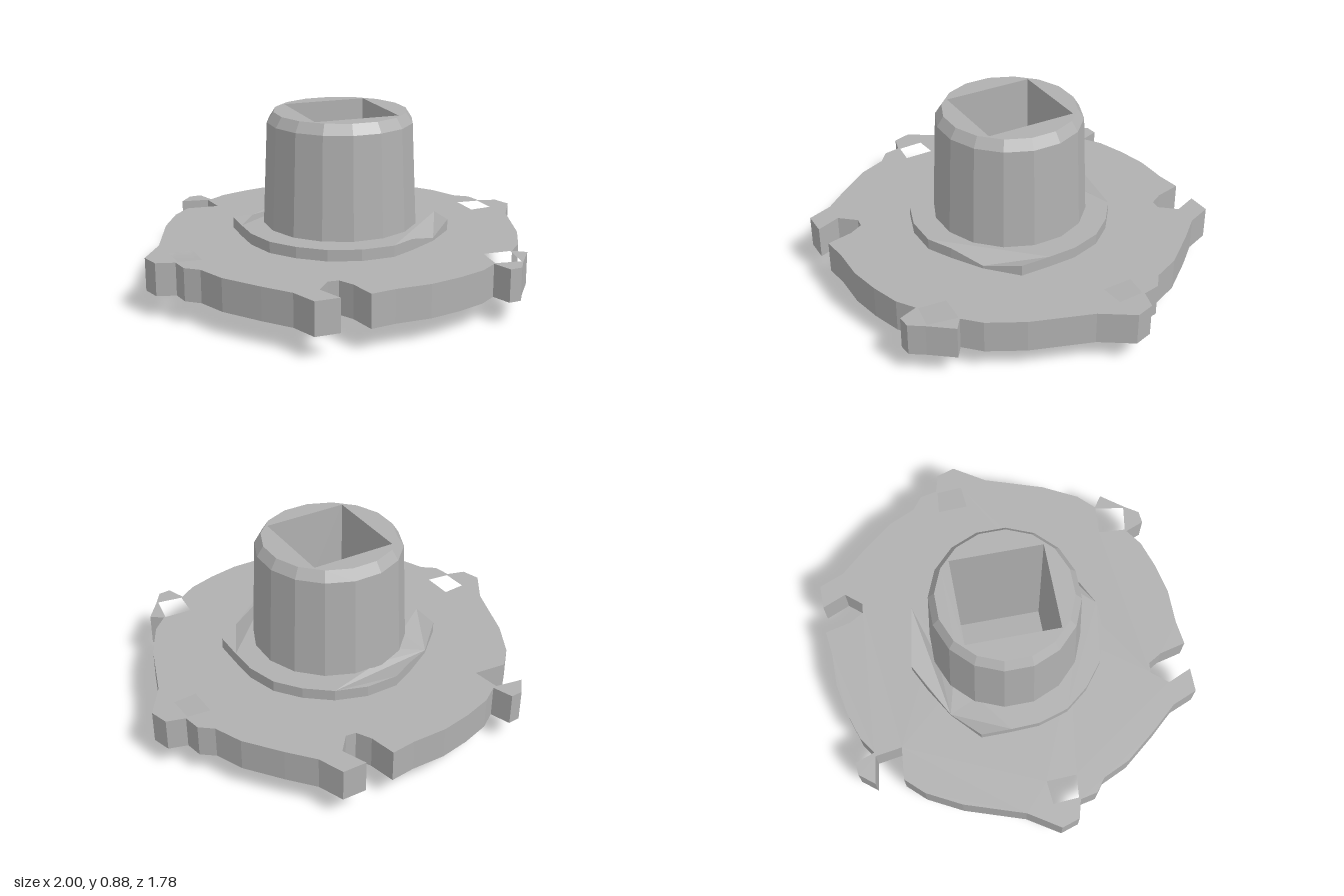
import * as THREE from 'three';

const SIDES = 16;
const PHASE = Math.PI / SIDES;
const BORE = [[-0.21, -0.225], [0.21, -0.225], [0.21, 0.225], [-0.21, 0.225]];

// Plan points are [x, z]; the shape is drawn with y = -z and laid flat later
const toVectors = (pts) => pts.map(([x, z]) => new THREE.Vector2(x, -z));
const half = (pts) => pts.map(([x, z]) => [-x, -z]);
const ring = (r) => Array.from({ length: SIDES }, (_, i) => {
  const a = PHASE + (i / SIDES) * Math.PI * 2;
  return [r * Math.sin(a), r * Math.cos(a)];
});

function planShape(outline, holes) {
  const shape = new THREE.Shape(toVectors(outline));
  holes.forEach((h) => shape.holes.push(new THREE.Path(toVectors(h))));
  return shape;
}

function slab(outline, holes, y0, y1) {
  const g = new THREE.ExtrudeGeometry(planShape(outline, holes), { depth: y1 - y0, bevelEnabled: false });
  return g.rotateX(-Math.PI / 2).translate(0, y0, 0);
}

function turned(profile) {
  return new THREE.LatheGeometry(profile.map(([r, y]) => new THREE.Vector2(r, y)), SIDES, PHASE);
}

export function createModel() {
  const group = new THREE.Group();
  const steel = new THREE.MeshStandardMaterial({ color: 0xb0b0b0, flatShading: true });
  steel.name = 'grey metal';
  const add = (name, geometry) => {
    const mesh = new THREE.Mesh(geometry, steel);
    mesh.name = name;
    group.add(mesh);
    return mesh;
  };

  // Flange rim: one side from the back notch round to the corner tab, repeated half a turn on
  const side = [
    [0.2, -0.89], [0.23, -0.76], [0.27, -0.69], [0.32, -0.685], [0.387, -0.765], [0.337, -0.885],
    [0.455, -0.885], [0.505, -0.76], [0.61, -0.64], [0.74, -0.475], [0.8, -0.34], [0.865, -0.29],
    [0.882, -0.205], [0.972, -0.18], [1, -0.09], [0.9, 0.065], [0.8, 0.36], [0.71, 0.53],
  ];
  const edge = [[0.38, 0.8], [0.24, 0.845], [0.09, 0.875], [-0.08, 0.875]];
  const closedTab = [[0.632, 0.608], [0.69, 0.65], [0.605, 0.762], [0.56, 0.83], [0.5, 0.835], [0.465, 0.742]];
  const openTab = half([[0.625, 0.62], [0.465, 0.605], [0.485, 0.738], [0.62, 0.76], [0.56, 0.835], [0.5, 0.84], [0.465, 0.742]]);
  const rim = [...side, ...closedTab, ...edge, ...half(side), ...openTab, ...half(edge)];

  // Small square slots near the rim
  const slot = [[0.76, -0.21], [0.872, -0.198], [0.88, -0.07], [0.765, -0.06]];
  const cornerSlot = [[0.485, 0.6], [0.623, 0.608], [0.6, 0.755], [0.475, 0.735]];
  add('flange', slab(rim, [ring(0.36), slot, half(slot), cornerSlot], 0.115, 0.275));

  // Collar with two chipped corners
  const arc = [
    [-0.08, -0.49], [0.08, -0.49], [0.23, -0.44], [0.35, -0.345], [0.44, -0.23],
    [0.485, -0.08], [0.49, 0.06], [0.49, 0.21], [0.35, 0.34], [0.2, 0.43],
  ];
  const collar = slab([...arc, ...half(arc)], [ring(0.36)], 0.27, 0.33);
  const p = collar.attributes.position;
  for (let i = 0; i < p.count; i++) {
    const chipped = Math.abs(Math.abs(p.getX(i)) - 0.35) < 0.005
      && Math.abs(p.getZ(i) * Math.sign(p.getX(i)) - 0.34) < 0.002;
    if (chipped && p.getY(i) > 0.3) p.setY(i, 0.29);
  }
  collar.computeVertexNormals();
  add('collar', collar);

  // Tapered barrel and the shallow dished underside with its foot
  add('barrel', turned([[0.38, 0.325], [0.357, 0.83], [0.325, 0.88]]));
  add('underside', turned([[0.315, 0], [0.34, 0.015], [0.375, 0.055], [0.78, 0.116]]));

  // End faces around the square bore
  const cap = (r) => new THREE.ShapeGeometry(planShape(ring(r), [BORE]));
  add('topFace', cap(0.325).rotateX(-Math.PI / 2).translate(0, 0.88, 0));
  add('footFace', cap(0.315).rotateX(Math.PI / 2));

  // Square bore: four walls facing inward
  BORE.forEach(([x, z], i) => {
    const [x2, z2] = BORE[(i + 1) % 4];
    const wall = add('boreWall', new THREE.PlaneGeometry(Math.hypot(x2 - x, z2 - z), 0.88));
    wall.position.set((x + x2) / 2, 0.44, (z + z2) / 2);
    wall.lookAt(0, 0.44, 0);
  });
  return group;
}
